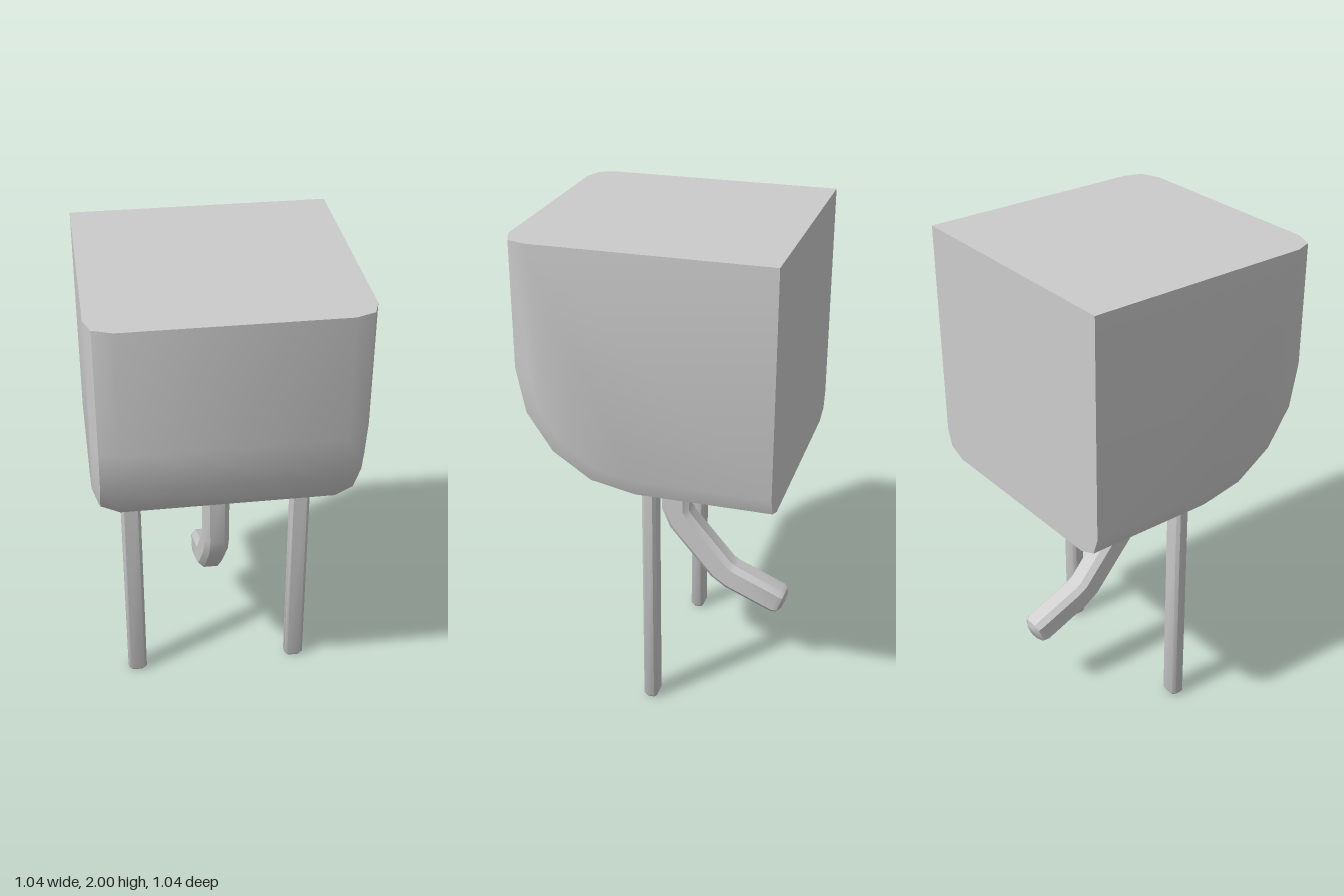
import * as THREE from 'three';
import { toCreasedNormals } from 'three/addons/utils/BufferGeometryUtils.js';

const material = new THREE.MeshStandardMaterial({ color: 0xcccccc });

// Skin a row of closed convex rings (counter-clockwise seen from the last one) and cap both ends.
function loft(name, rings) {
  const n = rings[0].length;
  const last = (rings.length - 1) * n;
  const index = [];
  for (let i = 0; i < rings.length - 1; i++) {
    for (let j = 0; j < n; j++) {
      const a = i * n + j, b = i * n + (j + 1) % n;
      index.push(a, b, b + n, a, b + n, a + n);
    }
  }
  for (let k = 1; k < n - 1; k++) {
    index.push(0, k + 1, k, last, last + k, last + k + 1);
  }
  const geometry = new THREE.BufferGeometry();
  geometry.setAttribute('position', new THREE.Float32BufferAttribute(rings.flat(2), 3));
  geometry.setIndex(index);
  const mesh = new THREE.Mesh(toCreasedNormals(geometry, 0.6), material);
  mesh.name = name;
  return mesh;
}

// Sweep a chamfered rectangle along a path of [y, z, scale] in the plane x = 0.
function sweep(name, path, w, d, c) {
  const section = [
    [w, c - d], [w, d - c], [w - c, d], [c - w, d],
    [-w, d - c], [-w, c - d], [c - w, -d], [w - c, -d],
  ];
  const rings = path.map(([y, z, s], i) => {
    const before = path[Math.max(i - 1, 0)];
    const after = path[Math.min(i + 1, path.length - 1)];
    const t = new THREE.Vector2(after[0] - before[0], after[1] - before[1]).normalize();
    return section.map(([u, v]) => [u * s, y + t.y * v * s, z - t.x * v * s]);
  });
  return loft(name, rings);
}

// Side profile of the body, pulled inwards by the given inset along the front and bottom.
function bodyRing(x, inset) {
  const ring = [[x, 2, 0.52 - inset]];
  for (let i = 0; i <= 4; i++) {
    const a = (i / 4) * Math.PI / 2;
    const r = 0.5 - inset;
    ring.push([x, 1.5 - r * Math.sin(a), 0.02 + r * Math.cos(a)]);
  }
  ring.push([x, 1 + inset, -0.52], [x, 2, -0.52]);
  return ring;
}

export function createModel() {
  const model = new THREE.Group();
  model.name = 'model';

  // Block body with a rounded front underside and softened side edges
  const steps = [[-0.52, 0.1], [-0.495, 0.03], [-0.42, 0], [0.42, 0], [0.495, 0.03], [0.52, 0.1]];
  model.add(loft('body', steps.map(([x, inset]) => bodyRing(x, inset))));

  // Straight outer legs
  for (const side of [-1, 1]) {
    const leg = sweep(side > 0 ? 'leftLeg' : 'rightLeg',
      [[1.03, 0, 1], [0.015, 0, 1], [0, 0, 0.75]], 0.041, 0.029, 0.012);
    leg.position.x = side * 0.36;
    model.add(leg);
  }

  // Middle leg, bent towards the back
  model.add(sweep('bentLeg', [
    [1.03, 0, 1], [0.72, 0, 1], [0.665, -0.025, 1],
    [0.455, -0.205, 1], [0.425, -0.25, 1],
    [0.34, -0.45, 1], [0.333, -0.469, 0.88], [0.328, -0.482, 0.5],
  ], 0.053, 0.06, 0.022));

  return model;
}
